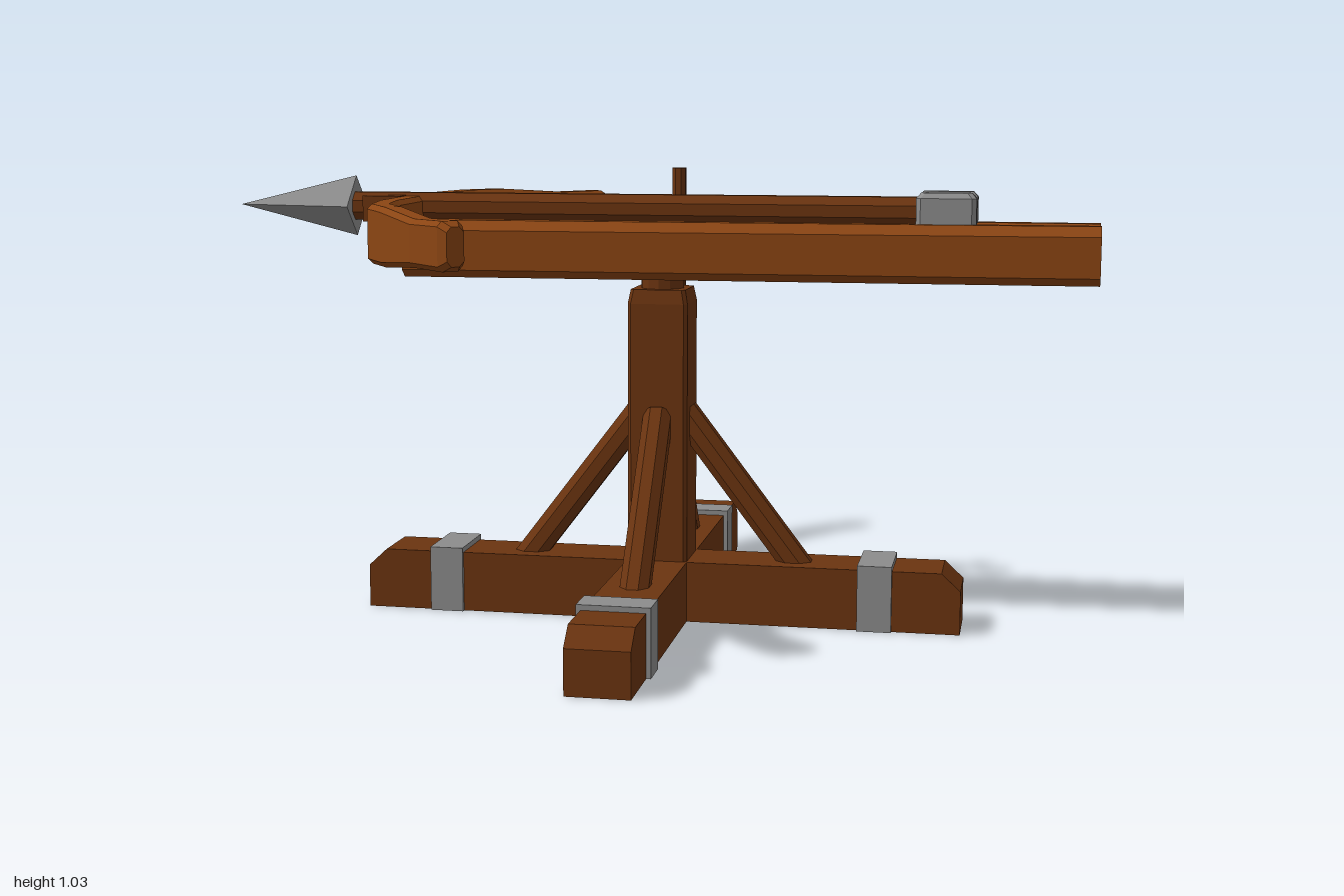
import * as THREE from 'three';

const material = (color) => new THREE.MeshStandardMaterial({ color, flatShading: true, side: THREE.DoubleSide });
const V = (x, y, z) => new THREE.Vector3(x, y, z);

// Skin over rings of points that run counter-clockwise about the direction of travel
function loft(rings) {
  const pos = [];
  const tri = (...pts) => pts.forEach((p) => pos.push(p.x, p.y, p.z));
  const n = rings[0].length;
  for (let i = 0; i < rings.length - 1; i++) {
    for (let j = 0; j < n; j++) {
      const k = (j + 1) % n, a = rings[i], b = rings[i + 1];
      tri(a[j], a[k], b[k]);
      tri(a[j], b[k], b[j]);
    }
  }
  const first = rings[0], last = rings[rings.length - 1];
  for (let j = 1; j < n - 1; j++) {
    tri(first[0], first[j + 1], first[j]);
    tri(last[0], last[j], last[j + 1]);
  }
  const g = new THREE.BufferGeometry();
  g.setAttribute('position', new THREE.Float32BufferAttribute(pos, 3));
  g.computeVertexNormals();
  return g;
}

// Rectangle outline with cut corners, counter-clockwise
function cutRect(hw, hh, c) {
  return [[hw, -hh + c], [hw, hh - c], [hw - c, hh], [-hw + c, hh],
    [-hw, hh - c], [-hw, -hh + c], [-hw + c, -hh], [hw - c, -hh]];
}

// Polygon extruded along z, centred on z = 0
function prism(points, depth) {
  const shape = new THREE.Shape(points.map(([x, y]) => new THREE.Vector2(x, y)));
  return new THREE.ExtrudeGeometry(shape, { depth, bevelEnabled: false }).translate(0, 0, -depth / 2);
}

export function createModel() {
  const model = new THREE.Group();
  const paleWood = material(0x8b4513), darkWood = material(0x6b3410), metal = material(0x8c8c8c);

  const add = (parent, name, geometry, mat, x = 0, y = 0, z = 0) => {
    const mesh = new THREE.Mesh(geometry, mat);
    mesh.name = name;
    mesh.position.set(x, y, z);
    parent.add(mesh);
    return mesh;
  };

  // Cylinder between two points
  const rod = (parent, name, a, b, r, mat, sides = 8) => {
    const g = new THREE.CylinderGeometry(r, r, a.distanceTo(b), sides).rotateY(Math.PI / sides);
    const mesh = add(parent, name, g, mat);
    mesh.position.copy(a).add(b).multiplyScalar(0.5);
    mesh.quaternion.setFromUnitVectors(V(0, 1, 0), b.clone().sub(a).normalize());
    return mesh;
  };

  // Crossed base beams with bevelled ends
  const base = new THREE.Group();
  base.name = 'base';
  base.position.set(0.021, 0, 0.003);
  model.add(base);
  const L = 0.695;
  const beam = prism([[-L, 0], [L, 0], [L, 0.1], [L - 0.043, 0.14], [-L + 0.043, 0.14], [-L, 0.1]], 0.14);
  add(base, 'beamAcross', beam, darkWood);
  add(base, 'beamAlong', beam, darkWood).rotation.y = Math.PI / 2;

  // Four arms, each with a metal strap and a diagonal brace
  const strap = prism([[-0.08, 0], [-0.069, 0], [-0.069, 0.139], [0.069, 0.139],
    [0.069, 0], [0.08, 0], [0.08, 0.152], [-0.08, 0.152]], 0.078).rotateY(Math.PI / 2);
  for (let i = 0; i < 4; i++) {
    const arm = new THREE.Group();
    arm.name = 'arm';
    arm.rotation.y = i * Math.PI / 2;
    base.add(arm);
    add(arm, 'strap', strap, metal, 0.502);
    rod(arm, 'brace', V(0.34, 0.1, 0), V(0.05, 0.481, 0), 0.035, darkWood);
  }

  // Upright post and swivel neck
  const postRing = (h, y) => cutRect(h, h, 0.008).map(([a, b]) => V(b, y, a));
  add(base, 'post', loft([postRing(0.069, 0), postRing(0.069, 0.735), postRing(0.063, 0.767)]), darkWood);
  add(base, 'swivelNeck', new THREE.CylinderGeometry(0.05, 0.05, 0.06, 12), darkWood, 0, 0.775, 0);

  // Tapered stock with a V groove on top
  const stockRing = (x, w, g) => {
    const half = [[g, 0.922], [w - 0.026, 0.922], [w, 0.9], [w, 0.81], [w - 0.022, 0.792]];
    return [V(x, 0.884, 0), ...half.map(([z, y]) => V(x, y, z)),
      ...half.reverse().map(([z, y]) => V(x, y, -z))];
  };
  add(model, 'stock', loft([stockRing(-0.56, 0.136, 0.06), stockRing(1, 0.087, 0.034)]), paleWood);

  // Curved bow: centre line x, z and half height, mirrored about z = 0
  const limb = [[-0.57, 0.19, 0.065], [-0.54, 0.335, 0.065], [-0.48, 0.43, 0.064],
    [-0.365, 0.588, 0.05], [-0.283, 0.667, 0.051], [-0.267, 0.682, 0.04]];
  const path = [...limb.map(([x, z, h]) => [x, -z, h]).reverse(), [-0.57, 0, 0.066], ...limb];
  const bowRings = path.map(([x, z, h], i) => {
    const a = path[Math.max(i - 1, 0)], b = path[Math.min(i + 1, path.length - 1)];
    const t = V(b[0] - a[0], 0, b[1] - a[1]).normalize();
    const side = V(0, 1, 0).cross(t);
    const w = i === 0 || i === path.length - 1 ? 0.02 : 0.029;
    return cutRect(w, h, 0.011).map(([u, v]) => V(x, 0.905 + v, z).addScaledVector(side, u));
  });
  add(model, 'bow', loft(bowRings), paleWood);
  add(model, 'bowBlock', new THREE.BoxGeometry(0.09, 0.06, 0.132), darkWood, -0.63, 0.943, 0);

  // Bolt with a four-sided head
  rod(model, 'boltShaft', V(-0.73, 0.947, 0), V(0.7, 0.947, 0), 0.035, darkWood);
  const head = new THREE.ConeGeometry(0.07, 0.288, 4).rotateZ(Math.PI / 2);
  add(model, 'boltHead', head, metal, -0.856, 0.947, 0);

  // Sliding catch: chamfered side blocks joined by a lower bridge
  const catchGroup = new THREE.Group();
  catchGroup.name = 'slidingCatch';
  catchGroup.position.set(0.665, 0.957, 0);
  model.add(catchGroup);
  const cheekRing = (y, inset) => cutRect(0.026 - inset, 0.066 - inset, 0.01).map(([a, b]) => V(b, y, a));
  const cheek = loft([cheekRing(-0.036, 0), cheekRing(0.022, 0), cheekRing(0.034, 0.01)]);
  for (const s of [-1, 1]) add(catchGroup, 'catchCheek', cheek, metal, 0, 0, s * 0.04);
  add(catchGroup, 'catchBridge', new THREE.BoxGeometry(0.12, 0.058, 0.05), metal, 0, -0.002, 0);

  // Winch on the far side: axle, hub and crossed handles
  const winch = new THREE.Group();
  winch.name = 'winch';
  winch.position.set(0.021, 0.858, 0);
  model.add(winch);
  rod(winch, 'axle', V(0, 0, -0.1), V(0, 0, -0.19), 0.028, metal);
  rod(winch, 'hub', V(0, 0, -0.176), V(0, 0, -0.232), 0.034, metal);
  rod(winch, 'handleUpright', V(0, -0.174, -0.206), V(0, 0.175, -0.206), 0.017, darkWood);
  rod(winch, 'handleLevel', V(-0.174, 0, -0.206), V(0.175, 0, -0.206), 0.017, darkWood);

  return model;
}
